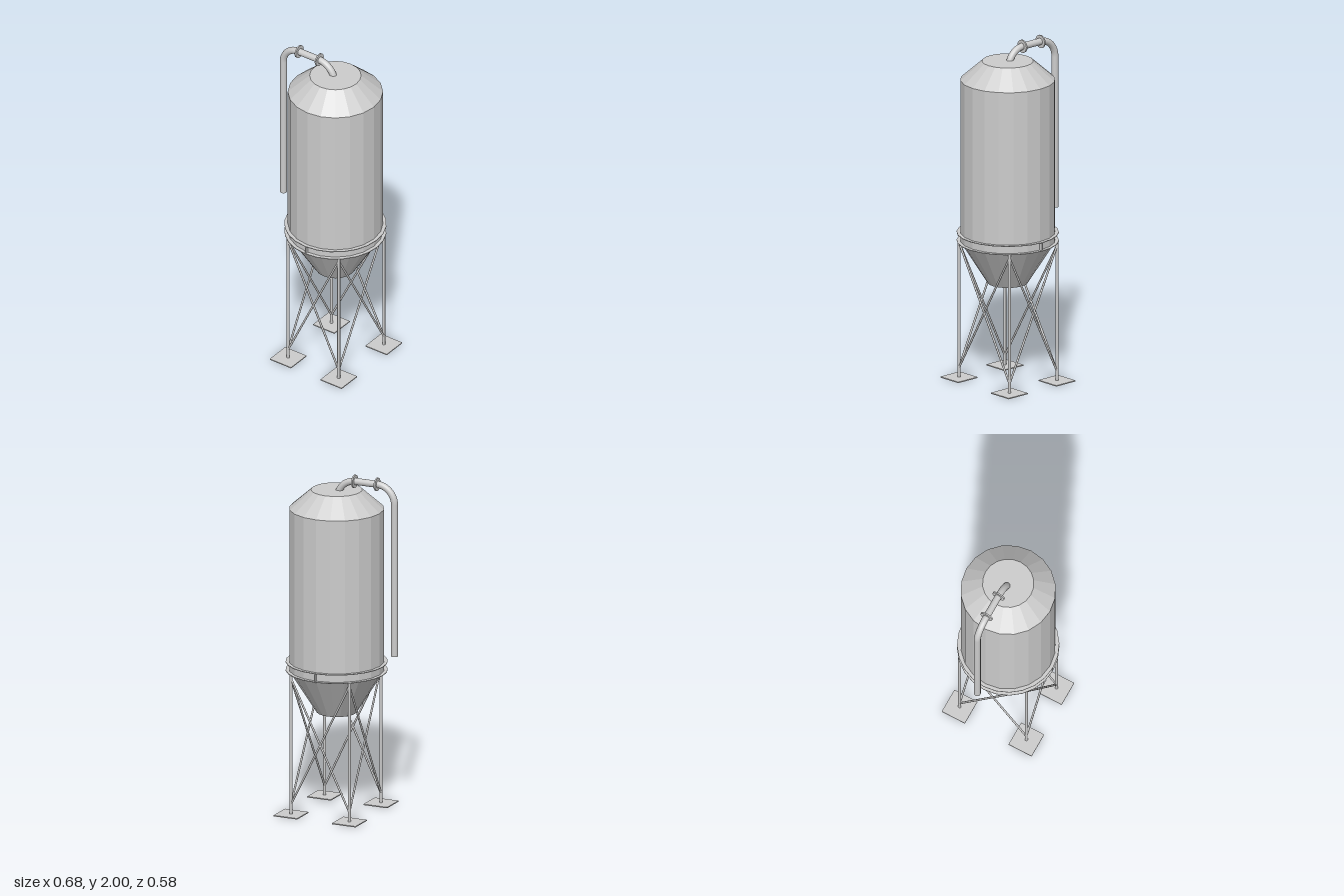
import * as THREE from 'three';

const CX = 0.047; // vertical axis of the tank
const flat = new THREE.MeshStandardMaterial({ color: 0xcccccc, flatShading: true });
const smooth = new THREE.MeshStandardMaterial({ color: 0xcccccc });

function add(parent, name, geometry, material = flat, x = 0, y = 0, z = 0) {
  const mesh = new THREE.Mesh(geometry, material);
  mesh.name = name;
  mesh.position.set(x, y, z);
  parent.add(mesh);
  return mesh;
}

function lathe(points, sides) {
  return new THREE.LatheGeometry(points.map(([r, y]) => new THREE.Vector2(r, y)), sides);
}

// Round bar between two points
function bar(parent, name, a, b, radius) {
  const dir = b.clone().sub(a);
  const mesh = add(parent, name, new THREE.CylinderGeometry(radius, radius, dir.length(), 8), smooth);
  mesh.position.copy(a).add(b).multiplyScalar(0.5);
  mesh.quaternion.setFromUnitVectors(new THREE.Vector3(0, 1, 0), dir.normalize());
}

export function createModel() {
  const model = new THREE.Group();
  model.name = 'silo';

  // Tank: discharge hopper, barrel and conical roof
  add(model, 'tank', lathe([
    [0, 0.58], [0.115, 0.58], [0.272, 0.83], [0.272, 1.79], [0.147, 1.9], [0, 1.9],
  ], 20), flat, CX);

  // Support ring: two thin flanges and joint plates at front and back
  const ring = new THREE.Group();
  ring.name = 'supportRing';
  model.add(ring);
  for (const y of [0.83, 0.88]) {
    const [inner, outer, t] = [0.262, 0.292, 0.002];
    add(ring, 'ringFlange', lathe([
      [inner, -t], [outer, -t], [outer, t], [inner, t], [inner, -t],
    ], 24), flat, CX, y);
  }
  for (const s of [-1, 1]) {
    add(ring, 'jointPlate', new THREE.BoxGeometry(0.006, 0.05, 0.024), flat, CX, 0.855, s * 0.279);
  }

  // Legs with foot plates, listed around the tank
  const corners = [[-0.13, 0.215], [0.227, 0.215], [0.2325, -0.215], [-0.1375, -0.215]];
  const frame = new THREE.Group();
  frame.name = 'frame';
  model.add(frame);
  corners.forEach(([x, z], i) => {
    add(frame, 'footPlate', new THREE.BoxGeometry(0.15, 0.006, 0.15), flat, x, 0.003, z);
    bar(frame, 'leg', new THREE.Vector3(x, 0, z), new THREE.Vector3(x, 0.83, z), 0.009);
    // Crossed braces to the next leg
    const [nx, nz] = corners[(i + 1) % 4];
    bar(frame, 'brace', new THREE.Vector3(x, 0.06, z), new THREE.Vector3(nx, 0.81, nz), 0.006);
    bar(frame, 'brace', new THREE.Vector3(x, 0.81, z), new THREE.Vector3(nx, 0.06, nz), 0.006);
  });

  // Filling pipe: quarter bends swept in the xy plane, joined by straight runs
  const pipe = new THREE.Group();
  pipe.name = 'fillPipe';
  model.add(pipe);
  const R = 0.11, r = 0.02, xL = -0.32, xR = 0.04, yTop = 1.963, yEnd = 0.955;
  add(pipe, 'outerBend', new THREE.TorusGeometry(R, r, 16, 12, Math.PI / 2), smooth, xL + R, yTop - R)
    .rotation.z = Math.PI / 2;
  add(pipe, 'roofBend', new THREE.TorusGeometry(R, r, 16, 12, Math.PI / 2), smooth, xR - R, yTop - R);
  bar(pipe, 'downpipe', new THREE.Vector3(xL, yEnd, 0), new THREE.Vector3(xL, yTop - R, 0), r);
  bar(pipe, 'topRun', new THREE.Vector3(xL + R, yTop, 0), new THREE.Vector3(xR - R, yTop, 0), r);
  pipe.children.slice(2).forEach((m) => {
    m.geometry = new THREE.CylinderGeometry(r, r, m.geometry.parameters.height, 16);
  });

  // Pipe couplings
  for (const x of [-0.209, -0.067]) {
    add(pipe, 'coupling', new THREE.CylinderGeometry(0.038, 0.038, 0.009, 20), smooth, x, yTop)
      .rotation.z = Math.PI / 2;
  }
  return model;
}
